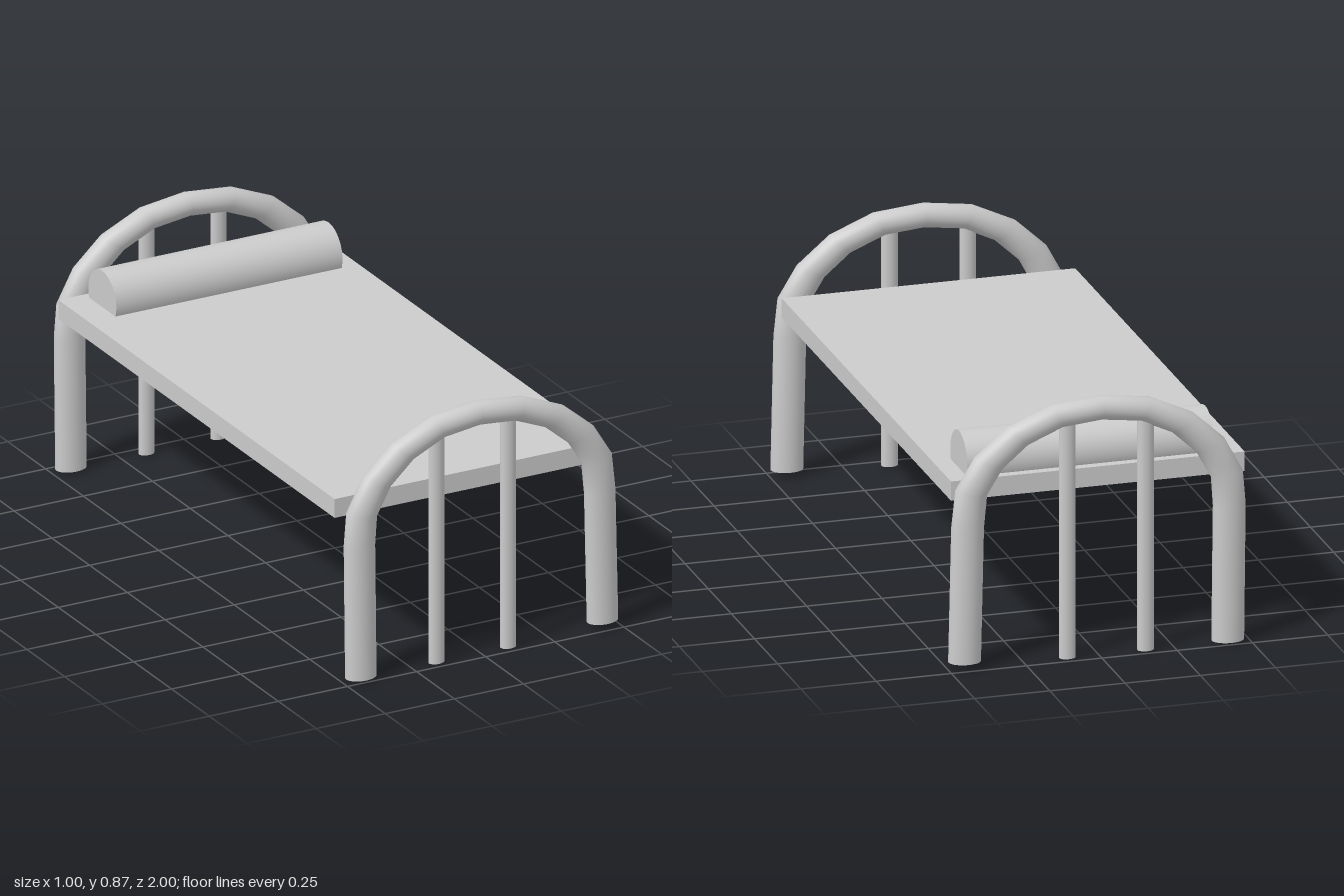
import * as THREE from 'three';

const material = new THREE.MeshStandardMaterial({ color: 0xcccccc });
const STRETCH = 1.35; // the bed is widened along x, so round bars become oval

// Centre line of the bent end rail, from foot to foot
const RAIL = [
  [-0.43, 0.006], [-0.435, 0.46], [-0.427, 0.565], [-0.372, 0.667], [-0.28, 0.752],
  [-0.154, 0.811], [-0.01, 0.83], [0.138, 0.816], [0.268, 0.762], [0.365, 0.68],
  [0.422, 0.587], [0.434, 0.47], [0.444, 0.022],
].map(([x, y]) => new THREE.Vector3(x / STRETCH, y, 0));

// Polyline that keeps one tube ring at each point, mitred at the corners
class RailCurve extends THREE.Curve {
  getPoint(t, target = new THREE.Vector3()) {
    const s = t * (RAIL.length - 1);
    const i = Math.min(Math.floor(s), RAIL.length - 2);
    return target.lerpVectors(RAIL[i], RAIL[i + 1], s - i);
  }
  getPointAt(t, target) {
    return this.getPoint(t, target);
  }
  getTangentAt(t, target = new THREE.Vector3()) {
    const i = Math.round(t * (RAIL.length - 1));
    const dir = (a, b) => RAIL[b].clone().sub(RAIL[a]).normalize();
    target.set(0, 0, 0);
    if (i > 0) target.add(dir(i - 1, i));
    if (i < RAIL.length - 1) target.add(dir(i, i + 1));
    return target.normalize();
  }
}

function addMesh(parent, name, geometry, x = 0, y = 0, z = 0) {
  const mesh = new THREE.Mesh(geometry, material);
  mesh.name = name;
  mesh.position.set(x, y, z);
  parent.add(mesh);
  return mesh;
}

// Arched rail with two upright bars
function createEndFrame(name, z) {
  const frame = new THREE.Group();
  frame.name = name;
  frame.position.z = z;
  frame.scale.x = STRETCH;
  addMesh(frame, 'archedRail', new THREE.TubeGeometry(new RailCurve(), RAIL.length - 1, 0.0395, 24));
  for (const foot of [RAIL[0], RAIL[RAIL.length - 1]]) {
    const cap = new THREE.CircleGeometry(0.0395, 24).rotateX(Math.PI / 2);
    addMesh(frame, 'footCap', cap, foot.x, foot.y, 0);
  }
  for (const x of [-0.157, 0.103]) {
    const bar = new THREE.CylinderGeometry(0.02, 0.02, 0.795, 24);
    addMesh(frame, 'uprightBar', bar, x / STRETCH, 0.3975, 0);
  }
  return frame;
}

export function createModel() {
  const bed = new THREE.Group();
  bed.name = 'bed';

  addMesh(bed, 'mattress', new THREE.BoxGeometry(0.975, 0.065, 1.83), -0.0125, 0.5825, 0);

  // Round bolster pillow, sunk into the mattress
  const bolster = new THREE.CylinderGeometry(0.093, 0.093, 0.818, 40).rotateZ(Math.PI / 2);
  addMesh(bed, 'bolster', bolster, 0.004, 0.647, -0.798);

  bed.add(createEndFrame('footFrame', 0.96), createEndFrame('headFrame', -0.96));
  return bed;
}
